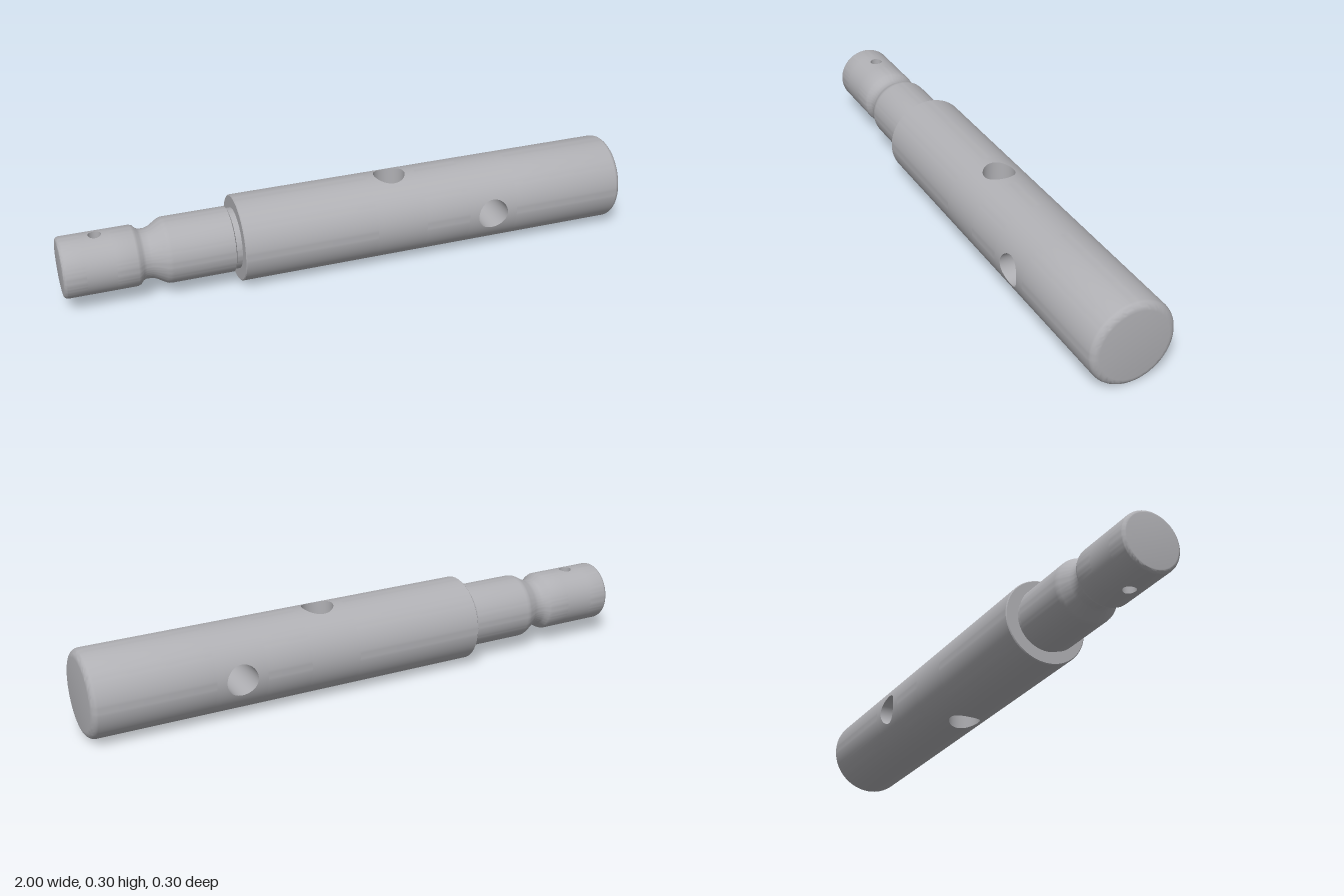
import * as THREE from 'three';
import { toCreasedNormals } from 'three/addons/utils/BufferGeometryUtils.js';

const AXIS_Y = 0.149;
const SEG = 96;

// Grid surface: fn(u, v) returns [position, normal], both as [x, y, z]
function gridSurface(fn, nu, nv) {
  const pos = [], nor = [], idx = [];
  for (let i = 0; i <= nu; i++) {
    for (let j = 0; j <= nv; j++) {
      const [p, n] = fn(i / nu, j / nv);
      pos.push(...p);
      nor.push(...n);
      if (i < nu && j < nv) {
        const a = i * (nv + 1) + j, b = a + nv + 1;
        idx.push(a, b, b + 1, a, b + 1, a + 1);
      }
    }
  }
  const g = new THREE.BufferGeometry();
  g.setAttribute('position', new THREE.Float32BufferAttribute(pos, 3));
  g.setAttribute('normal', new THREE.Float32BufferAttribute(nor, 3));
  g.setIndex(idx);
  return g;
}

// Point on a round wall of radius R along the x axis
function wallPoint(R, x, th) {
  const c = Math.cos(th), s = Math.sin(th);
  return [[x, R * c, R * s], [0, c, s]];
}

export function createModel() {
  const model = new THREE.Group();
  const body = new THREE.Group();
  body.position.y = AXIS_Y;
  model.add(body);

  const steel = new THREE.MeshStandardMaterial({ color: 0xb0b0b4 });
  steel.name = 'steel';

  const add = (name, geometry) => {
    const mesh = new THREE.Mesh(geometry, steel);
    mesh.name = name;
    body.add(mesh);
  };

  // Turned section from [x, radius] pairs
  const turned = (name, profile) => {
    const pts = profile.map(([x, r]) => new THREE.Vector2(r, x));
    const g = new THREE.LatheGeometry(pts, SEG).rotateZ(-Math.PI / 2);
    add(name, toCreasedNormals(g, 0.6));
  };

  // Section of round wall, x +- w, drilled right through with radius r.
  // phi is the drilling direction: 0 is vertical, PI / 2 is front to back.
  const drilled = (name, R, x, w, r, phi) => {
    const q = Math.PI / 4;
    for (const dir of [phi, phi + Math.PI]) {
      // Wall around one mouth: blends from a circle to a rectangle
      add(name + 'Mouth', gridSurface((u, t) => {
        const a = u * Math.PI * 2 - q;
        const side = Math.min(3, Math.floor(u * 4));
        const k = (u * 4 - side) * 2 - 1;
        const [sx, st] = [[1, k], [-k, 1], [-1, -k], [k, -1]][side];
        const hx = r * Math.cos(a), ht = Math.asin(r * Math.sin(a) / R);
        return wallPoint(R, x + hx + (sx * w - hx) * t, dir + ht + (st * q - ht) * t);
      }, SEG, 8));

      // Plain wall between the two mouths
      add(name + 'Wall', gridSurface(
        (u, v) => wallPoint(R, x + (v * 2 - 1) * w, dir + q + u * q * 2), SEG / 4, 1));
    }
    // Inner surface of the hole
    add(name + 'Bore', gridSurface((u, v) => {
      const a = u * Math.PI * 2, ca = Math.cos(a), sa = Math.sin(a);
      const cp = Math.cos(phi), sp = Math.sin(phi);
      const d = (v * 2 - 1) * Math.sqrt(R * R - r * r * sa * sa);
      return [
        [x + r * ca, d * cp - r * sa * sp, d * sp + r * sa * cp],
        [-ca, sa * sp, -sa * cp],
      ];
    }, SEG, 1));
  };

  // Rounded edge points, from the wall to the end face
  const fillet = (x0, x1, rOuter, rInner) => Array.from({ length: 7 }, (_, i) => {
    const a = i / 6 * Math.PI / 2;
    return [x0 + (x1 - x0) * Math.sin(a), rInner + (rOuter - rInner) * Math.cos(a)];
  });

  // Narrow tip with a small vertical hole
  const tipR = 0.104, tipX = -0.875, tipW = 0.05;
  turned('tipEnd', [[-1, 0], ...fillet(-0.985, -1, tipR, 0.092).reverse(),
    [tipX - tipW, tipR]]);
  drilled('tipHole', tipR, tipX, tipW, 0.022, 0);

  // Neck groove, flared shank and undercut
  turned('shank', [[tipX + tipW, tipR], [-0.755, tipR], [-0.745, 0.1], [-0.735, 0.089],
    [-0.725, 0.085], [-0.705, 0.085], [-0.69, 0.09], [-0.66, 0.108], [-0.65, 0.112],
    [-0.64, 0.113], [-0.428, 0.113], [-0.424, 0.105], [-0.4, 0.105]]);

  // Thick barrel with two crossing holes
  const R = 0.149, holeR = 0.055, w = 0.09, xv = 0.155, xh = 0.495;
  turned('barrelShoulder', [[-0.405, 0.1], [-0.405, R - 0.003], [-0.402, R], [xv - w, R]]);
  drilled('verticalHole', R, xv, w, holeR, 0);
  turned('barrelMiddle', [[xv + w, R], [xh - w, R]]);
  drilled('crossHole', R, xh, w, holeR, Math.PI / 2);
  turned('barrelEnd', [[xh + w, R], ...fillet(0.972, 1, R, 0.121), [1, 0]]);

  return model;
}
